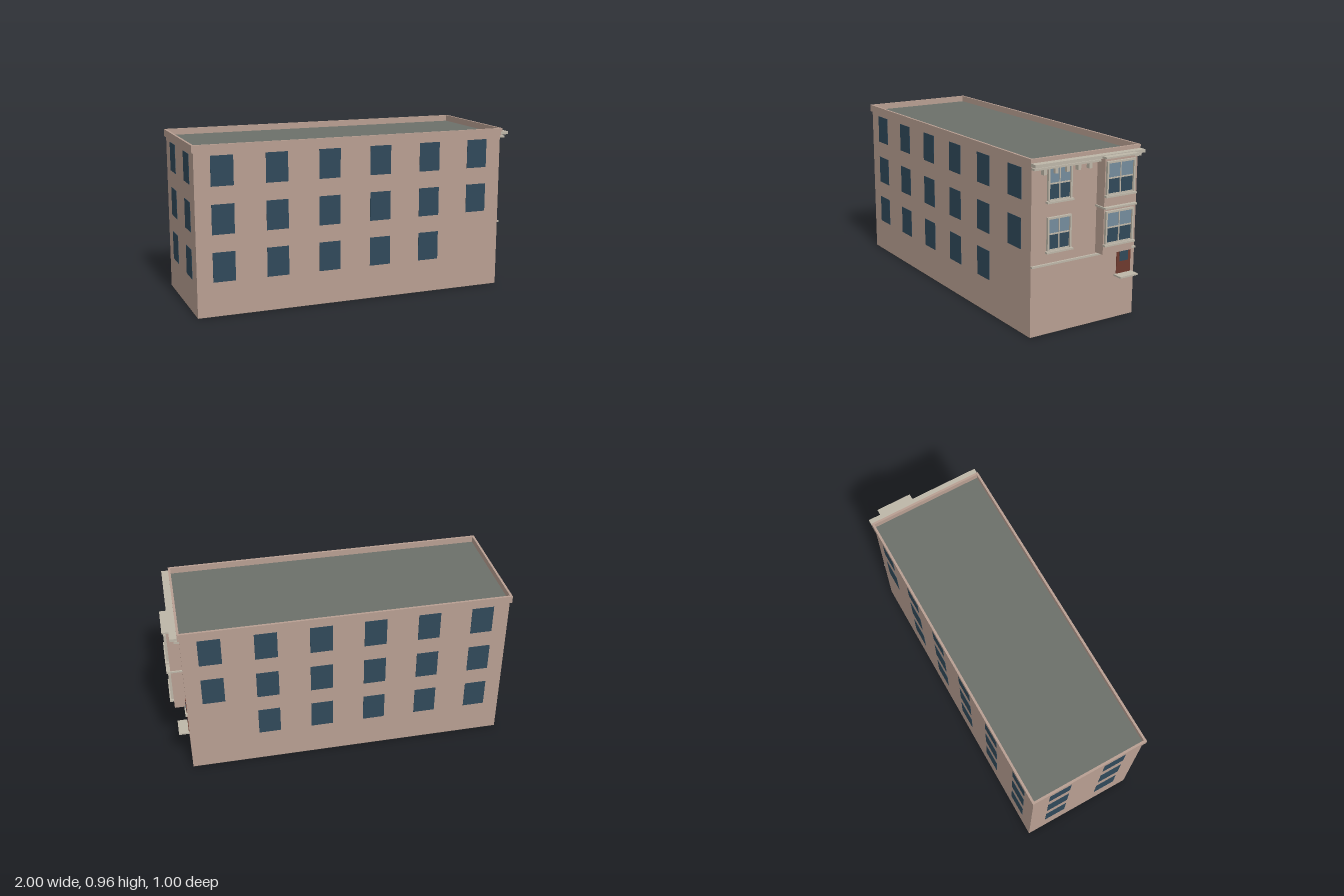
import * as THREE from 'three';

const L = 1.854, W = 0.679;          // plan of the block
const X = L / 2, Z = W / 2;
const WALL = 0xb89f92, TRIM = 0xbdb6a8, GLASS = 0x30495a, SKY = 0x748c9c;
const ROOF = 0x6c706a, DOOR = 0x6e3a2e, BASE = 0x353433;

const mats = {};
const mat = (c) => (mats[c] ??= new THREE.MeshStandardMaterial({ color: c }));

// box given by its limits on each axis
function box(parent, name, color, [x0, x1], [y0, y1], [z0, z1]) {
  const m = new THREE.Mesh(new THREE.BoxGeometry(x1 - x0, y1 - y0, z1 - z0), mat(color));
  m.name = name;
  m.position.set((x0 + x1) / 2, (y0 + y1) / 2, (z0 + z1) / 2);
  parent.add(m);
  return m;
}

// rectangular ring lying flat, used for the parapet
function ring(parent, name, color, outX, outZ, inX, inZ, y0, y1) {
  const rect = (P, a, b) => {
    const p = new P();
    p.moveTo(-a, -b); p.lineTo(a, -b); p.lineTo(a, b); p.lineTo(-a, b); p.closePath();
    return p;
  };
  const s = rect(THREE.Shape, outX, outZ);
  s.holes.push(rect(THREE.Path, inX, inZ));
  const g = new THREE.ExtrudeGeometry(s, { depth: y1 - y0, bevelEnabled: false });
  g.rotateX(-Math.PI / 2);
  const m = new THREE.Mesh(g, mat(color));
  m.name = name;
  m.position.y = y0;
  parent.add(m);
}

// framed sash window on a street-facing plane at x
function sashWindow(parent, x, zc, y0, glassW) {
  const g = new THREE.Group();
  g.name = 'sashWindow';
  parent.add(g);
  const h = glassW / 2, t = 0.01, y1 = y0 + 0.167, ym = y0 + 0.087;
  box(g, 'lowerPane', GLASS, [x, x + 0.003], [y0, ym], [zc - h, zc + h]);
  box(g, 'upperPane', SKY, [x, x + 0.005], [ym, y1], [zc - h, zc + h]);
  for (const s of [-1, 1]) {
    const a = zc + s * h, b = zc + s * (h + t);
    box(g, 'jamb', TRIM, [x, x + 0.014], [y0, y1 + t], [Math.min(a, b), Math.max(a, b)]);
  }
  box(g, 'head', TRIM, [x, x + 0.014], [y1, y1 + t], [zc - h, zc + h]);
  box(g, 'meetingRail', TRIM, [x, x + 0.008], [ym - 0.004, ym + 0.004], [zc - h, zc + h]);
  box(g, 'bottomRail', TRIM, [x, x + 0.008], [y0, y0 + 0.005], [zc - h, zc + h]);
  box(g, 'mullion', TRIM, [x, x + 0.008], [y0, y1], [zc - 0.003, zc + 0.003]);
  box(g, 'sill', TRIM, [x, x + 0.022], [y0 - 0.013, y0 - 0.003], [zc - h - 0.018, zc + h + 0.018]);
  box(g, 'sillFrame', TRIM, [x, x + 0.014], [y0 - 0.003, y0], [zc - h, zc + h]);
}

export function createModel() {
  const model = new THREE.Group();
  model.name = 'building';
  const b = new THREE.Group();
  b.name = 'block';
  b.rotation.y = THREE.MathUtils.degToRad(9.3);
  b.position.set(-0.025, 0, 0.005);
  model.add(b);

  // shell, roof and parapet
  box(b, 'base', BASE, [-X, X], [0, 0.002], [-Z, Z]);
  box(b, 'walls', WALL, [-X, X], [0.002, 0.915], [-Z, Z]);
  box(b, 'roof', ROOF, [-X, X], [0.915, 0.921], [-Z, Z]);
  ring(b, 'parapet', WALL, X + 0.01, Z + 0.01, X - 0.003, Z - 0.003, 0.915, 0.957);

  // plain windows on both long sides and the rear end
  const rows = [0.197, 0.463, 0.729], H = 0.167, w = 0.0635, d = 0.002;
  rows.forEach((y, r) => {
    for (let i = 0; i < 6; i++) {
      if (r === 0 && i === 5) continue;
      const x = (i - 2.5) * L / 6;
      for (const s of [-1, 1]) {
        box(b, 'sideWindow', GLASS, [x - w, x + w], [y, y + H], [s * Z - d, s * Z + d]);
      }
    }
    for (const s of [-1, 1]) {
      const z = s * W / 4;
      box(b, 'rearWindow', GLASS, [-X - d, -X + d], [y, y + H], [z - 0.066, z + 0.066]);
    }
  });

  // street end: bay in two storeys, each capped by a band
  const zb = -W / 4, bay = 0.0975, front = X + 0.065;
  box(b, 'bay', WALL, [X, front], [0.402, 0.925], [zb - bay, zb + bay]);
  for (const y of [0.655, 0.923]) {
    box(b, 'bayBand', TRIM, [X, front + 0.022], [y, y + 0.009],
      [zb - bay - 0.008, zb + bay + 0.008]);
  }
  for (const y of rows.slice(1)) {
    sashWindow(b, X, W / 4, y, 0.13);
    sashWindow(b, front, zb, y, 0.164);
  }

  // street end: cornice, brackets and string course
  box(b, 'lowerCornice', TRIM, [X, X + 0.03], [0.9, 0.911], [-Z - 0.002, Z + 0.002]);
  box(b, 'upperCornice', TRIM, [X, X + 0.05], [0.919, 0.936], [-Z - 0.01, Z + 0.01]);
  for (let i = 0; i < 9; i++) {
    const z = 0.273 - 0.071 * i;
    box(b, 'bracket', TRIM, [X, X + 0.024], [0.87, 0.9], [z - 0.009, z + 0.009]);
  }
  box(b, 'stringCourse', TRIM, [X, X + 0.012], [0.384, 0.394], [-Z, Z]);

  // raised door with its sill
  box(b, 'door', DOOR, [X, X + 0.003], [0.252, 0.461], [-0.314, -0.218]);
  box(b, 'doorGlass', GLASS, [X, X + 0.005], [0.32, 0.435], [-0.296, -0.238]);
  box(b, 'doorSill', TRIM, [X, X + 0.06], [0.243, 0.252], [-0.323, -0.203]);

  return model;
}
